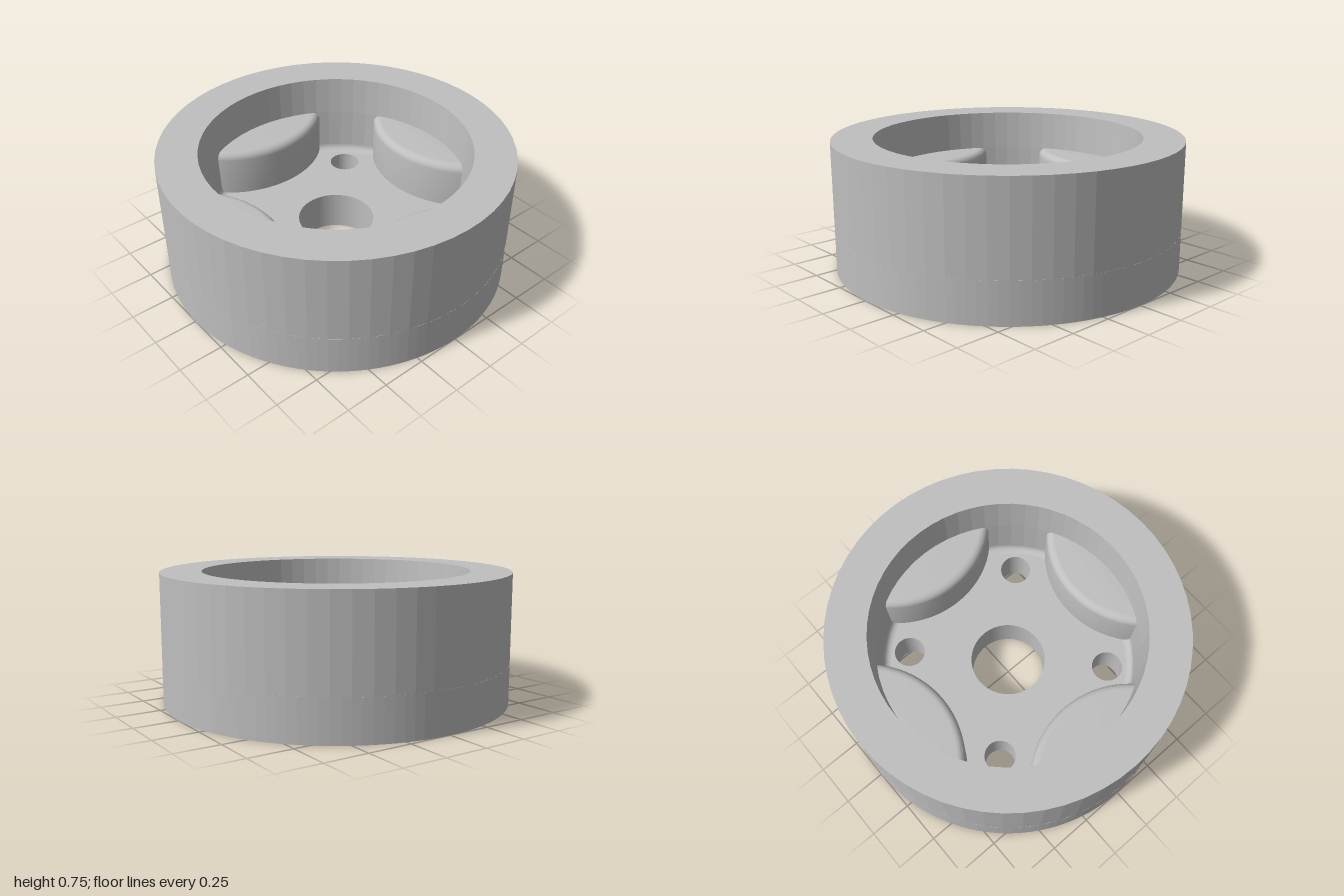
import * as THREE from 'three';
import { toCreasedNormals } from 'three/addons/utils/BufferGeometryUtils.js';

const SIDES = 60;
const HEIGHT = 0.745;
const FLOOR = 0.235;
const LOBE_TOP = 0.515;

// Faceted version of a geometry
function faceted(geometry) {
  const flat = geometry.toNonIndexed();
  flat.computeVertexNormals();
  return flat;
}

// Extrude a plan shape upwards along y
function extrudeUp(shape, options) {
  return new THREE.ExtrudeGeometry(shape, options).rotateX(-Math.PI / 2);
}

function circlePath(x, y, r) {
  return new THREE.Path().absarc(x, y, r, 0, Math.PI * 2, true);
}

const profile = (pairs) => pairs.map(([r, y]) => new THREE.Vector2(r, y));

export function createModel() {
  const model = new THREE.Group();
  const grey = new THREE.MeshStandardMaterial({ color: 0xbfbfbf });
  grey.name = 'plain grey';

  const add = (name, geometry) => {
    const mesh = new THREE.Mesh(geometry, grey);
    mesh.name = name;
    model.add(mesh);
    return mesh;
  };

  // Floor disc with the centre bore and four bolt holes
  const disc = new THREE.Shape().absarc(0, 0, 1, 0, Math.PI * 2, false);
  disc.holes.push(circlePath(0, 0, 0.22));
  for (const sx of [-1, 1]) {
    for (const sy of [-1, 1]) disc.holes.push(circlePath(sx * 0.42, sy * 0.42, 0.09));
  }
  add('floorDisc', extrudeUp(disc, { depth: FLOOR, bevelEnabled: false, curveSegments: SIDES }));

  // Thick outer wall with a slightly tapered inside
  add('outerWall', faceted(new THREE.LatheGeometry(profile([
    [1, FLOOR], [1, HEIGHT], [0.767, HEIGHT], [0.752, LOBE_TOP], [0.745, FLOOR + 0.04],
  ]), SIDES)));

  // Rounded corner between wall and floor
  const round = [];
  for (let i = 0; i <= 6; i++) {
    const a = (i / 6) * Math.PI / 2;
    round.push([0.705 + 0.04 * Math.cos(a), FLOOR + 0.04 - 0.04 * Math.sin(a)]);
  }
  add('floorFillet', new THREE.LatheGeometry(profile(round), SIDES));

  // Four lobes bulging inwards, their outer sides buried in the wall
  const centre = 1.053, radius = 0.568, outer = 0.85, bevel = 0.045;
  const y = (centre ** 2 + outer ** 2 - radius ** 2) / (2 * centre);
  const x = Math.sqrt(outer ** 2 - y ** 2);
  const lobe = new THREE.Shape();
  lobe.absarc(0, centre, radius, Math.atan2(y - centre, -x), Math.atan2(y - centre, x), false);
  lobe.absarc(0, 0, outer, Math.atan2(y, x), Math.atan2(y, -x), false);
  const bottom = 0.1;
  const lobeGeometry = toCreasedNormals(extrudeUp(lobe, {
    depth: LOBE_TOP - bottom - 2 * bevel,
    bevelThickness: bevel, bevelSize: bevel, bevelOffset: -bevel,
    bevelSegments: 6, curveSegments: 24,
  }).translate(0, bottom + bevel, 0), 0.6);
  for (let i = 0; i < 4; i++) {
    add('lobe' + (i + 1), lobeGeometry).rotation.y = i * Math.PI / 2;
  }

  return model;
}
